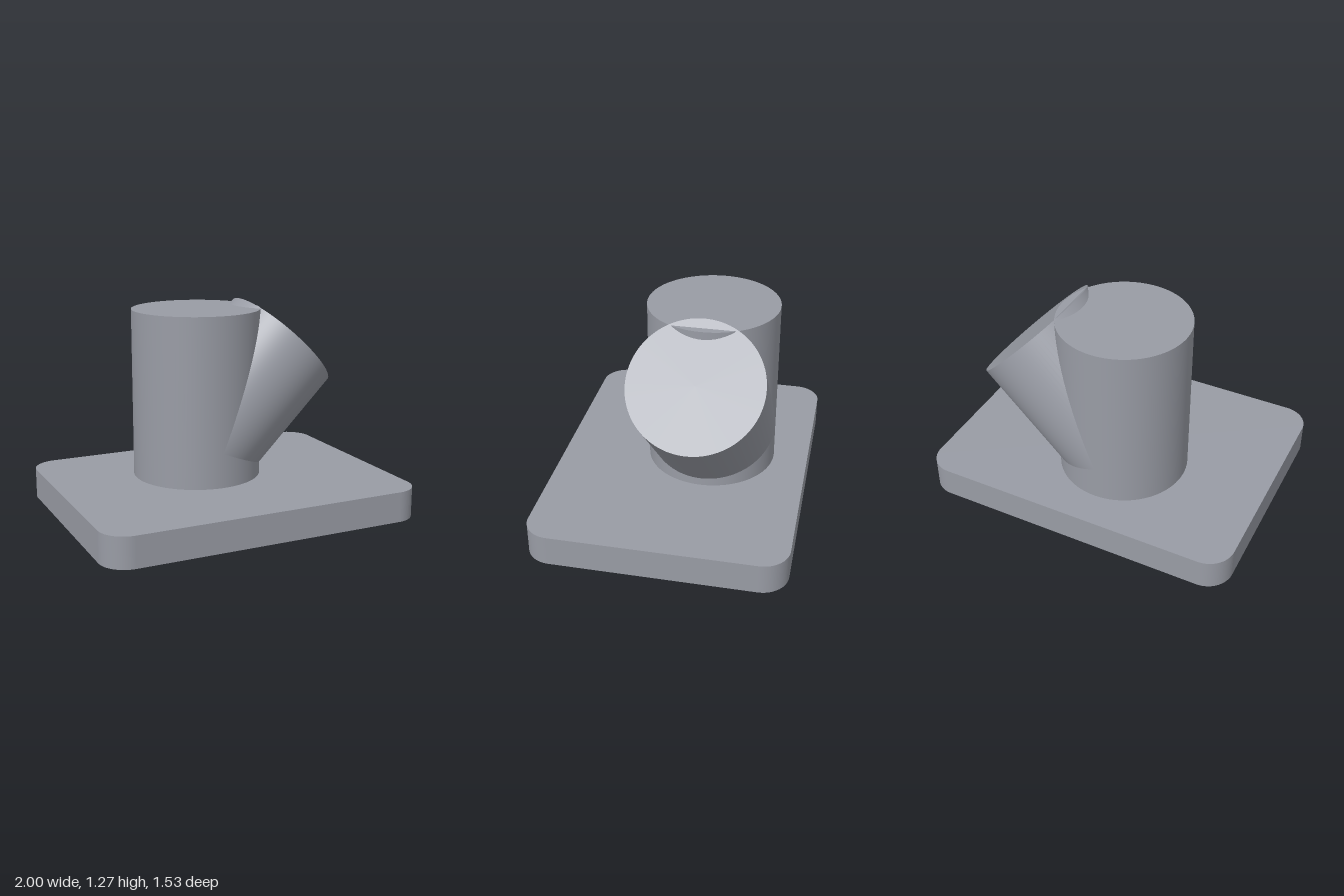
import * as THREE from 'three';

export function createModel() {
  const group = new THREE.Group();
  const steel = new THREE.MeshStandardMaterial({ color: 0x999ca5 });
  steel.name = 'steel grey';

  const add = (name, geometry) => {
    const mesh = new THREE.Mesh(geometry, steel);
    mesh.name = name;
    group.add(mesh);
    return mesh;
  };

  // Base plate with rounded corners
  const w = 1, d = 0.767, r = 0.16, baseHeight = 0.187;
  const outline = new THREE.Shape();
  outline.absarc(w - r, d - r, r, 0, Math.PI / 2);
  outline.absarc(r - w, d - r, r, Math.PI / 2, Math.PI);
  outline.absarc(r - w, r - d, r, Math.PI, Math.PI * 1.5);
  outline.absarc(w - r, r - d, r, Math.PI * 1.5, Math.PI * 2);
  const plate = new THREE.ExtrudeGeometry(outline, {
    depth: baseHeight, bevelEnabled: false, curveSegments: 16,
  });
  plate.rotateX(-Math.PI / 2);
  add('basePlate', plate);

  // Upright post standing on the plate
  const postX = -0.08, postZ = -0.155, radius = 0.398, postTop = 1.23;
  const post = add('uprightPost',
    new THREE.CylinderGeometry(radius, radius, postTop - baseHeight, 96));
  post.position.set(postX, (postTop + baseHeight) / 2, postZ);

  // Branch leaning 45 degrees, starting on the post's axis
  const start = new THREE.Vector3(postX, 0.4, postZ);
  const end = new THREE.Vector3(0.51, 0.99, postZ);
  const branch = add('angledBranch',
    new THREE.CylinderGeometry(radius, radius, start.distanceTo(end), 96));
  branch.position.copy(start).lerp(end, 0.5);
  branch.rotation.z = -Math.PI / 4;

  return group;
}
